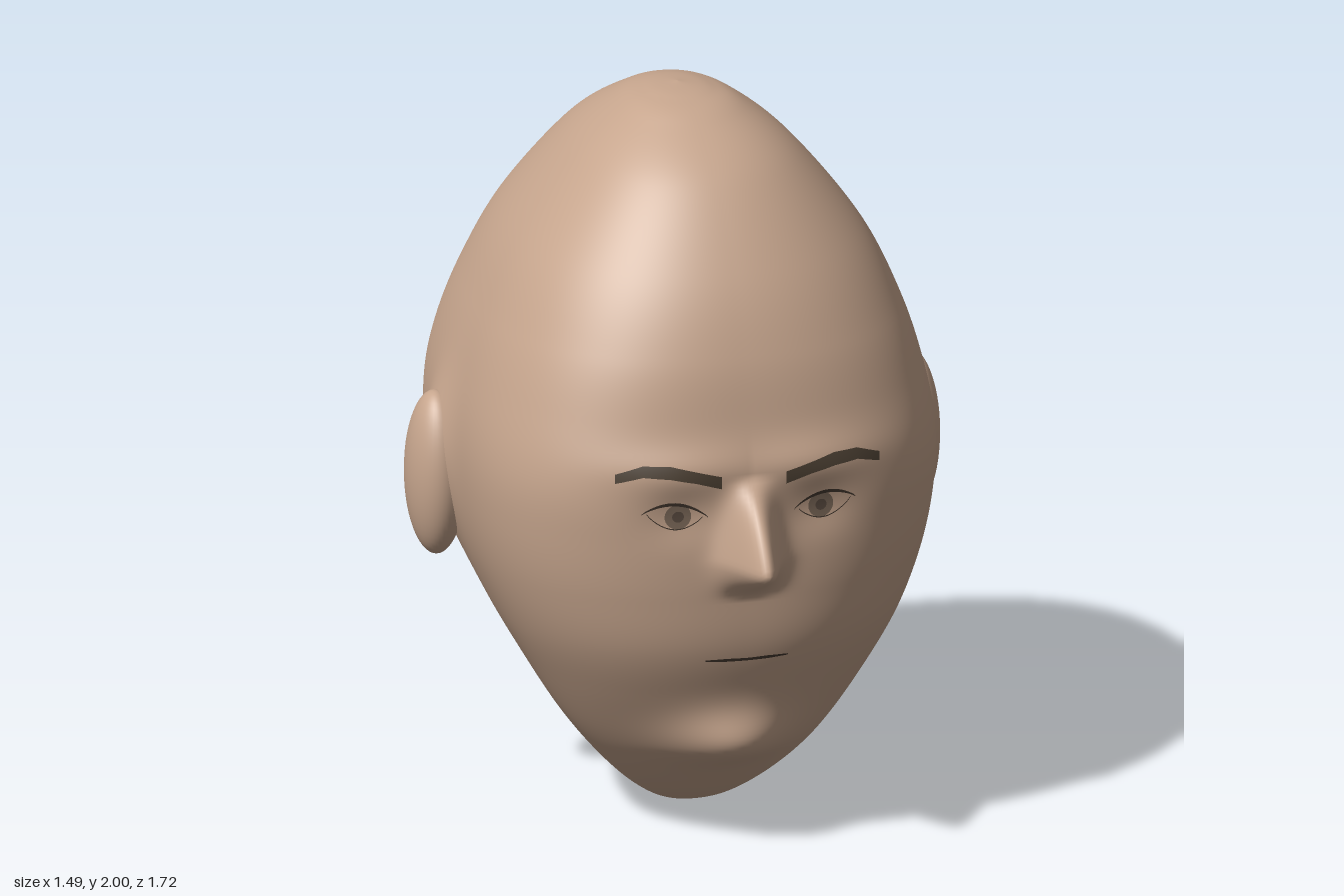
import * as THREE from 'three';

const mat = (name, color, side = THREE.FrontSide) => {
  const m = new THREE.MeshStandardMaterial({ color, side });
  m.name = name;
  return m;
};

// Head profile rows: height, half width, front z, back z
const ROWS = [
  [0, 0, 0, 0], [0.02, 0.085, 0.12, -0.065], [0.08, 0.175, 0.24, -0.155],
  [0.18, 0.275, 0.37, -0.245], [0.3, 0.37, 0.47, -0.35], [0.45, 0.462, 0.565, -0.48],
  [0.6, 0.542, 0.63, -0.61], [0.76, 0.605, 0.655, -0.74], [0.92, 0.64, 0.665, -0.825],
  [1.075, 0.648, 0.67, -0.86], [1.235, 0.625, 0.645, -0.845], [1.42, 0.57, 0.605, -0.785],
  [1.62, 0.475, 0.515, -0.675], [1.835, 0.307, 0.35, -0.48], [1.95, 0.17, 0.17, -0.28],
  [1.987, 0.087, 0.06, -0.17], [2, 0, -0.05, -0.05],
];
const V = (x, y, z) => new THREE.Vector3(x, y, z);
const frontCurve = new THREE.CatmullRomCurve3(ROWS.map(([y, w, f]) => V(w, y, f)), false, 'catmullrom', 0.5);
const backCurve = new THREE.CatmullRomCurve3(ROWS.map(([y, , , b]) => V(b, y, 0)), false, 'catmullrom', 0.5);

function section(u) {
  const p = frontCurve.getPoint(u), back = backCurve.getPoint(u).x;
  const n = 2.15 + 0.5 * Math.exp(-(((p.y - 1.0) / 0.45) ** 2)); // squarer at eye level
  return { y: p.y, w: Math.max(p.x, 0), front: p.z, back, mid: p.z - (p.z - back) * 0.42, n };
}

const bell = (d, s) => Math.exp(-((d / s) ** 2));

// Nose, chin, brow ridge and eye sockets, as forward relief
function relief(x, y) {
  const t = THREE.MathUtils.clamp((y - 0.87) / 0.23, 0, 1);
  const nose = 0.195 * (y < 0.87 ? THREE.MathUtils.smoothstep(y, 0.755, 0.88) : 1 - t ** 1.3);
  const ax = Math.abs(x);
  return nose * bell(x, 0.066 - 0.02 * t)
    + 0.1 * bell(x, 0.17) * bell(y - 0.29, y < 0.29 ? 0.075 : 0.1)
    + 0.018 * bell(ax - 0.17, 0.2) * bell(y - 1.13, 0.06)
    - 0.015 * bell(ax - 0.19, 0.1) * bell(y - 1.0, 0.07);
}

// Depth of the face surface at a given point
function faceZ(x, y) {
  let lo = 0, hi = 1;
  for (let i = 0; i < 30; i++) {
    const m = (lo + hi) / 2;
    if (frontCurve.getPoint(m).y < y) lo = m; else hi = m;
  }
  const s = section(lo);
  return s.mid + (s.front - s.mid) * (1 - Math.min(1, Math.abs(x) / s.w) ** s.n) ** (1 / s.n) + relief(x, y);
}

function grid(rows, cols, wrap, point) {
  const pos = [], idx = [];
  const stride = wrap ? cols : cols + 1;
  for (let i = 0; i <= rows; i++) for (let j = 0; j < stride; j++) pos.push(...point(i / rows, j / cols));
  for (let i = 0; i < rows; i++) for (let j = 0; j < cols; j++) {
    const a = i * stride + j, b = i * stride + ((j + 1) % stride);
    idx.push(a, b, b + stride, a, b + stride, a + stride);
  }
  const g = new THREE.BufferGeometry();
  g.setAttribute('position', new THREE.Float32BufferAttribute(pos, 3));
  g.setIndex(idx);
  g.computeVertexNormals();
  return g;
}

function headGeometry() {
  return grid(190, 200, true, (u, v) => {
    const s = section(u), t = v * Math.PI * 2;
    const a = t - 0.5 * Math.sin(t); // columns are denser on the face
    const sx = Math.sin(a), cz = Math.cos(a);
    const r = (Math.abs(sx) ** s.n + Math.abs(cz) ** s.n) ** (-1 / s.n);
    let x = s.w * r * sx;
    let z = s.mid + r * cz * (cz > 0 ? s.front - s.mid : s.mid - s.back);
    if (cz > 0) z += relief(x, s.y);
    // soft flare around the root of each ear
    x += Math.sign(sx) * 0.05 * bell(s.y - 0.99, 0.17) * bell(z + 0.11, 0.11) * Math.min(1, Math.abs(sx) * 2);
    return [x, s.y, z];
  });
}

// Thin strip lying on the face between two height curves
function strip(x0, x1, bottom, top, lift) {
  return grid(2, 24, false, (u, v) => {
    const x = x0 + (x1 - x0) * v;
    const y = THREE.MathUtils.lerp(bottom(v), top(v), u);
    return [x, y, faceZ(x, y) + lift];
  });
}

function disc(cx, cy, r, lift) {
  const g = new THREE.CircleGeometry(r, 28);
  const p = g.attributes.position;
  for (let i = 0; i < p.count; i++) {
    const x = cx + p.getX(i), y = cy + p.getY(i);
    p.setXYZ(i, x, y, faceZ(x, y) + lift);
  }
  g.computeVertexNormals();
  return g;
}

// Piecewise straight line through evenly spaced heights
const line = (...h) => (v) => {
  const k = Math.min(Math.floor(v * (h.length - 1)), h.length - 2);
  return THREE.MathUtils.lerp(h[k], h[k + 1], v * (h.length - 1) - k);
};

export function createModel() {
  const skin = mat('skin', 0xc6a58d);
  const hair = mat('browHair', 0x4c4033, THREE.DoubleSide);
  const dark = mat('darkLine', 0x41362d, THREE.DoubleSide);
  const irisMat = mat('iris', 0x7c6959);
  const pupilMat = mat('pupil', 0x5a4b40);

  const model = new THREE.Group();
  model.name = 'head';
  const add = (name, geometry, material) => {
    const m = new THREE.Mesh(geometry, material);
    m.name = name;
    model.add(m);
    return m;
  };

  add('skull', headGeometry(), skin);

  const arc = (v) => Math.sin(Math.PI * v) ** 0.8;
  for (const [side, s] of [['left', 1], ['right', -1]]) {
    // Ear
    const ear = add(side + 'Ear', new THREE.SphereGeometry(1, 40, 28), skin);
    ear.scale.set(0.082, 0.23, 0.115);
    ear.position.set(s * 0.662, 0.935, -0.105);

    // Eyebrow
    add(side + 'Eyebrow', strip(s * 0.09, s * 0.37,
      line(1.087, 1.108, 1.122, 1.127, 1.107), line(1.122, 1.14, 1.157, 1.157, 1.132), 0.02), hair);

    // Eye
    const lid = (v) => 1.0 + 0.014 * v + 0.038 * arc(v);
    const under = (v) => 1.0 + 0.014 * v - 0.04 * arc(v);
    add(side + 'UpperLid', strip(s * 0.12, s * 0.3, (v) => lid(v) - 0.008 * arc(v), (v) => lid(v) + 0.002, 0.008), dark);
    add(side + 'LowerLid', strip(s * 0.135, s * 0.285, under, (v) => under(v) + 0.003, 0.006), dark);
    add(side + 'Iris', disc(s * 0.2, 1.004, 0.036, 0.004), irisMat);
    add(side + 'Pupil', disc(s * 0.2, 1.004, 0.016, 0.007), pupilMat);
  }

  // Mouth
  add('mouth', strip(-0.115, 0.115, line(0.577, 0.573, 0.572, 0.573, 0.577),
    line(0.581, 0.582, 0.58, 0.582, 0.581), 0.006), dark);

  return model;
}
